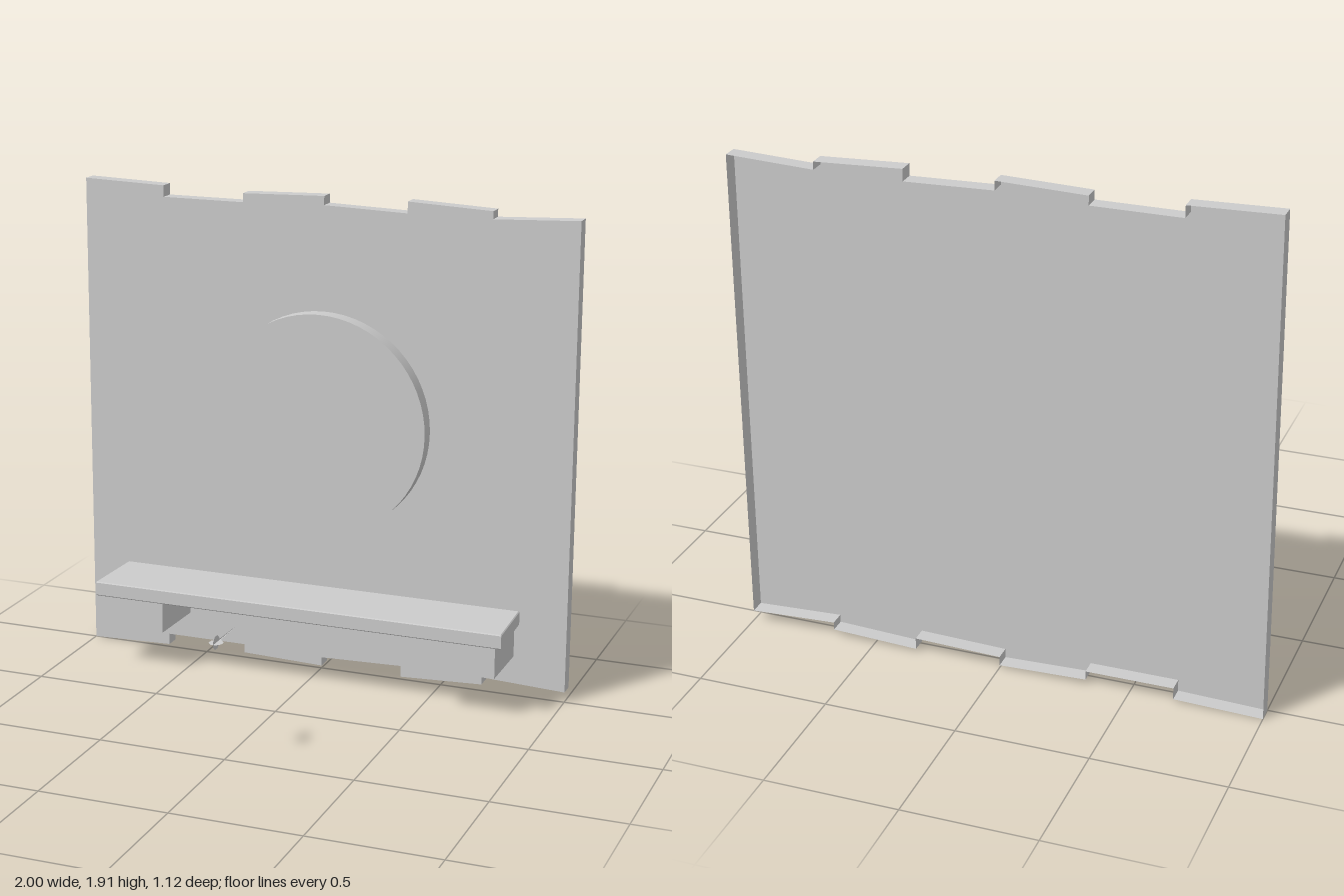
import * as THREE from 'three';

const material = new THREE.MeshStandardMaterial({ color: 0xcccccc });
const thin = new THREE.MeshStandardMaterial({ color: 0xcccccc, side: THREE.DoubleSide });

const FRONT = -0.5, BACK = -0.56, HEIGHT = 1.915;

function add(parent, name, geometry, mat = material) {
  const mesh = new THREE.Mesh(geometry, mat);
  mesh.name = name;
  parent.add(mesh);
  return mesh;
}

// Notched outline: six sections, each with a start and end inset from the top edge;
// the bottom edge mirrors the top.
function wallOutline() {
  const insets = [[0, 0.01], [0.055, 0.055], [0.02, 0.01], [0.045, 0.055], [0.01, 0.025], [0.055, 0.04]];
  const bottom = insets.flatMap(([a, b], i) => [
    new THREE.Vector2(-1 + i / 3, a),
    new THREE.Vector2(-1 + (i + 1) / 3, b),
  ]);
  const top = bottom.map((p) => new THREE.Vector2(p.x, HEIGHT - p.y)).reverse();
  return [...bottom, ...top];
}

// Rim running back from the outline, one flat quad per edge
function rimGeometry(points) {
  const position = [];
  points.forEach((a, i) => {
    const b = points[(i + 1) % points.length];
    position.push(a.x, a.y, FRONT, a.x, a.y, BACK, b.x, b.y, BACK);
    position.push(a.x, a.y, FRONT, b.x, b.y, BACK, b.x, b.y, FRONT);
  });
  const geometry = new THREE.BufferGeometry();
  geometry.setAttribute('position', new THREE.Float32BufferAttribute(position, 3));
  geometry.computeVertexNormals();
  return geometry;
}

// Slab with a four-cornered plan (x, z) rising from y0 to y1, edges slightly bevelled
function slab(plan, y0, y1, bevel) {
  const shape = new THREE.Shape(plan.map(([x, z]) => new THREE.Vector2(x, -z)));
  const geometry = new THREE.ExtrudeGeometry(shape, {
    depth: y1 - y0 - 2 * bevel, bevelEnabled: bevel > 0,
    bevelThickness: bevel, bevelSize: bevel, bevelOffset: -bevel, bevelSegments: 1,
  });
  return geometry.rotateX(-Math.PI / 2).translate(0, y0 + bevel, 0);
}

// Flat dart silhouette: octagonal head with a tapering needle
function dartGeometry() {
  const points = [];
  for (let i = 0; i < 8; i++) {
    const a = -Math.PI * 7 / 8 + i * Math.PI / 4;
    points.push(new THREE.Vector2(0.532 + 0.03 * Math.cos(a), 0.027 * Math.sin(a)));
  }
  points.push(new THREE.Vector2(0.5, 0.004), new THREE.Vector2(0.358, 0.001));
  points.push(new THREE.Vector2(0.358, -0.001), new THREE.Vector2(0.5, -0.004));
  return new THREE.ShapeGeometry(new THREE.Shape(points)).rotateY(-Math.PI / 2);
}

export function createModel() {
  const model = new THREE.Group();
  model.name = 'wallWithShelf';

  // Wall panel, open at the back
  const wall = new THREE.Group();
  wall.name = 'wall';
  model.add(wall);
  const outline = wallOutline();
  add(wall, 'wallFront', new THREE.ShapeGeometry(new THREE.Shape(outline)).translate(0, 0, FRONT), thin);
  add(wall, 'wallRim', rimGeometry(outline), thin);

  // Raised round plate
  const disc = add(model, 'disc', new THREE.CylinderGeometry(0.437, 0.437, 0.064, 64).rotateX(Math.PI / 2));
  disc.position.set(0, 1.022, -0.467);

  // Shelf, a little wider at the front, on two brackets
  const back = FRONT + 0.001;
  add(model, 'shelf', slab([[-0.845, back], [-0.856, -0.212], [0.824, -0.212], [0.812, back]], 0.29, 0.348, 0.004));
  add(model, 'rightBracket', slab([[-0.825, back], [-0.825, -0.24], [-0.578, -0.24], [-0.571, back]], 0.16, 0.291, 0));
  add(model, 'leftBracket', slab([[0.534, back], [0.541, -0.24], [0.793, -0.24], [0.793, back]], 0.16, 0.291, 0));

  // Small dart made of two crossed flat silhouettes
  const dart = new THREE.Group();
  dart.name = 'dart';
  dart.position.set(-0.015, 0.461, 0);
  model.add(dart);
  add(dart, 'dartUpright', dartGeometry(), thin);
  add(dart, 'dartFlat', dartGeometry().rotateZ(Math.PI / 2), thin);

  return model;
}
